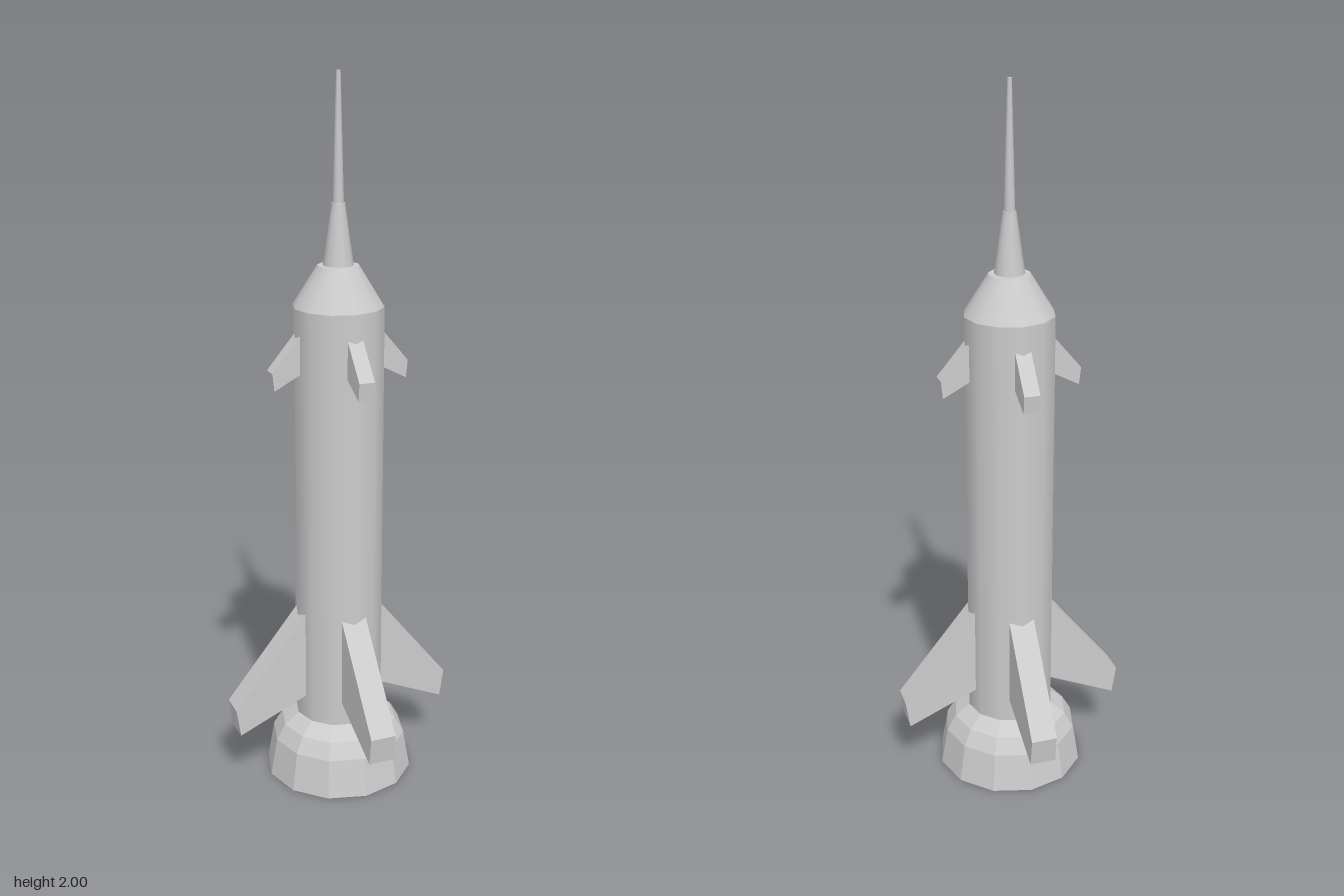
import * as THREE from 'three';

const SIDES = 12;
const smooth = new THREE.MeshStandardMaterial({ color: 0xcccccc });
const faceted = new THREE.MeshStandardMaterial({ color: 0xcccccc, flatShading: true });

function add(parent, name, geometry, material) {
  const mesh = new THREE.Mesh(geometry, material);
  mesh.name = name;
  parent.add(mesh);
  return mesh;
}

// Tapered round section standing between two heights
function section(parent, name, rBottom, rTop, y0, y1, sides = SIDES) {
  const mesh = add(parent, name, new THREE.CylinderGeometry(rTop, rBottom, y1 - y0, sides), smooth);
  mesh.position.y = (y0 + y1) / 2;
}

// Four copies of a fin, its outline given as radius and height
function finSet(parent, name, outline, thickness) {
  const set = new THREE.Group();
  set.name = name + 's';
  const shape = new THREE.Shape(outline.map(([r, y]) => new THREE.Vector2(r, y)));
  const geometry = new THREE.ExtrudeGeometry(shape, { depth: thickness, bevelEnabled: false });
  geometry.translate(0, 0, -thickness / 2);
  for (let i = 0; i < 4; i++) {
    add(set, name, geometry, faceted).rotation.y = i * Math.PI / 2;
  }
  parent.add(set);
}

export function createModel() {
  const rocket = new THREE.Group();
  rocket.name = 'rocket';

  // Body, nose and two-stage spire
  section(rocket, 'body', 0.125, 0.125, 0.17, 1.39);
  section(rocket, 'noseCone', 0.125, 0.057, 1.39, 1.5);
  section(rocket, 'spireBase', 0.042, 0.018, 1.495, 1.665, 10);
  section(rocket, 'spireTip', 0.015, 0.006, 1.66, 2, 10);

  // Hollow engine bell: inside ceiling, down to the rim, up the outside
  const bell = [
    [0, 0.15], [0.11, 0.148], [0.148, 0.135], [0.174, 0.1], [0.192, 0],
    [0.213, 0], [0.194, 0.11], [0.168, 0.155], [0.125, 0.187], [0, 0.187],
  ].map(([r, y]) => new THREE.Vector2(r, y));
  add(rocket, 'engineBell', new THREE.LatheGeometry(bell, SIDES), faceted);

  // Large tail fins and small upper fins, rooted inside the body
  finSet(rocket, 'tailFin', [[0.1, 0.264], [0.315, 0.17], [0.327, 0.25], [0.1, 0.532]], 0.073);
  finSet(rocket, 'upperFin', [[0.1, 1.225], [0.193, 1.176], [0.198, 1.225], [0.1, 1.342]], 0.044);

  return rocket;
}
